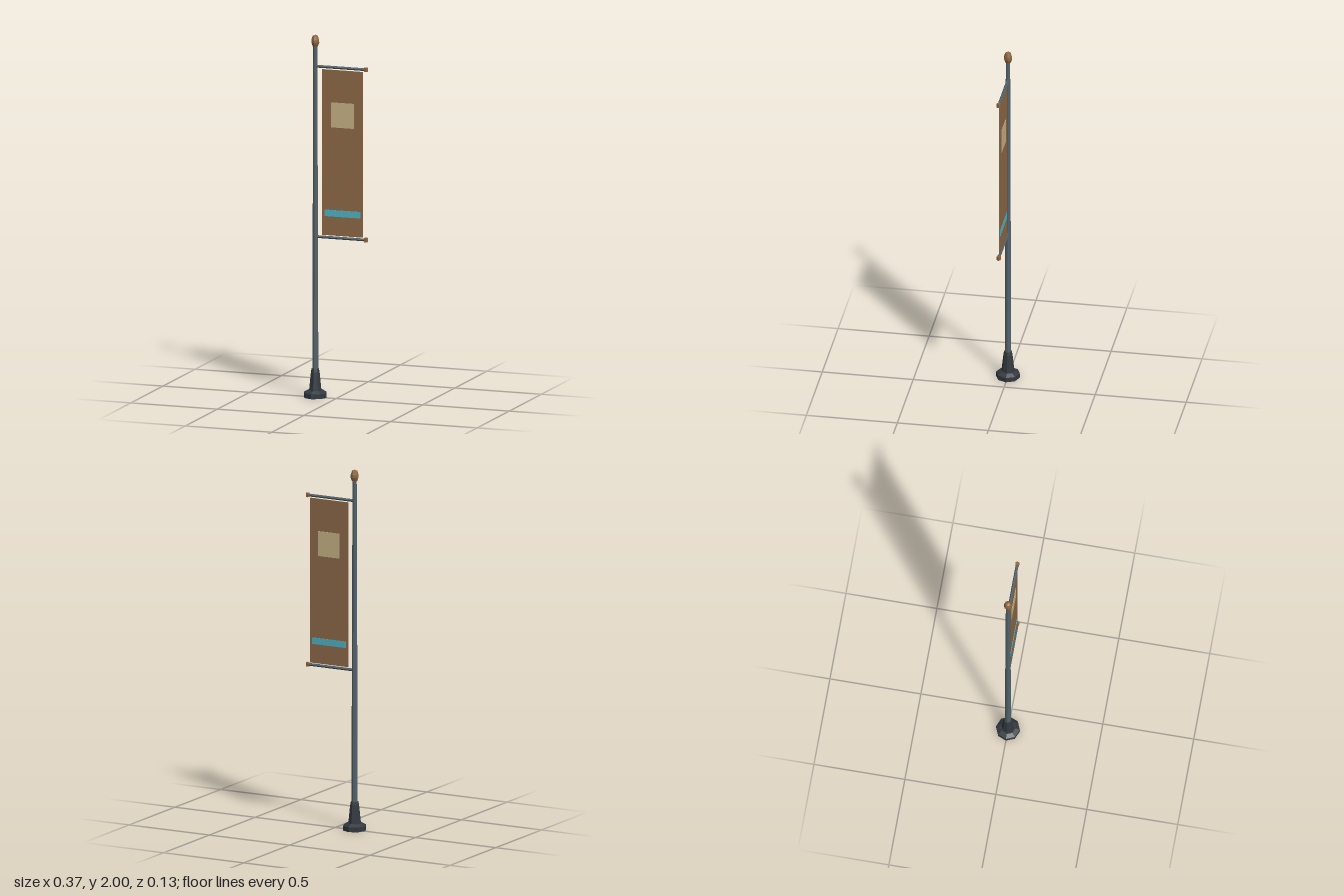
import * as THREE from 'three';

const flat = (name, color) => {
  const m = new THREE.MeshStandardMaterial({ color });
  m.name = name;
  return m;
};

export function createModel() {
  const steel = flat('steel', 0x53636b);
  const iron = flat('darkIron', 0x32393f);
  const bronze = flat('bronze', 0x8f6740);
  const cloth = flat('brownCloth', 0x8f6b49);
  const cream = flat('cream', 0xc9b487);
  const cyan = flat('cyan', 0x4fb5c9);

  const group = new THREE.Group();
  const POLE_X = -0.12;

  const add = (name, geometry, material, x, y, z = 0) => {
    const faceted = geometry.index ? geometry.toNonIndexed() : geometry;
    faceted.computeVertexNormals();
    const mesh = new THREE.Mesh(faceted, material);
    mesh.name = name;
    mesh.position.set(x, y, z);
    group.add(mesh);
    return mesh;
  };
  const lathe = (points, sides) =>
    new THREE.LatheGeometry(points.map(([r, y]) => new THREE.Vector2(r, y)), sides);

  // Octagonal foot with a tapering sleeve
  add('foot', lathe([[0, 0], [0.065, 0], [0.065, 0.026], [0.042, 0.04], [0, 0.04]], 8), iron, POLE_X, 0);
  add('sleeve', lathe([[0.036, 0.036], [0.025, 0.14], [0.021, 0.158], [0, 0.158]], 8), iron, POLE_X, 0);

  // Slim tapering pole
  add('pole', new THREE.CylinderGeometry(0.012, 0.018, 1.91, 8), steel, POLE_X, 0.995);

  // Acorn finial
  add('finial', lathe([[0, 1.934], [0.015, 1.937], [0.023, 1.957], [0.022, 1.973],
    [0.015, 1.994], [0, 2]], 8), bronze, POLE_X, 0);

  // Upper and lower arms with end caps
  for (const [label, y] of [['upper', 1.827], ['lower', 0.887]]) {
    const arm = add(label + 'Arm', new THREE.CylinderGeometry(0.008, 0.008, 0.285, 6), steel, 0.0225, y);
    arm.rotation.z = Math.PI / 2;
    add(label + 'ArmCap', new THREE.CylinderGeometry(0.012, 0.012, 0.022, 6, 1, false, Math.PI / 2),
      bronze, 0.172, y);
  }

  // Hanging banner
  add('banner', new THREE.BoxGeometry(0.235, 0.914, 0.005), cloth, 0.0375, 1.356);

  // Panel and stripe on both faces
  for (const [side, z] of [['front', 0.0035], ['back', -0.0035]]) {
    add(side + 'Panel', new THREE.BoxGeometry(0.132, 0.138, 0.002), cream, 0.038, 1.565, z);
    add(side + 'Stripe', new THREE.BoxGeometry(0.208, 0.036, 0.002), cyan, 0.0375, 1.022, z);
  }

  return group;
}
